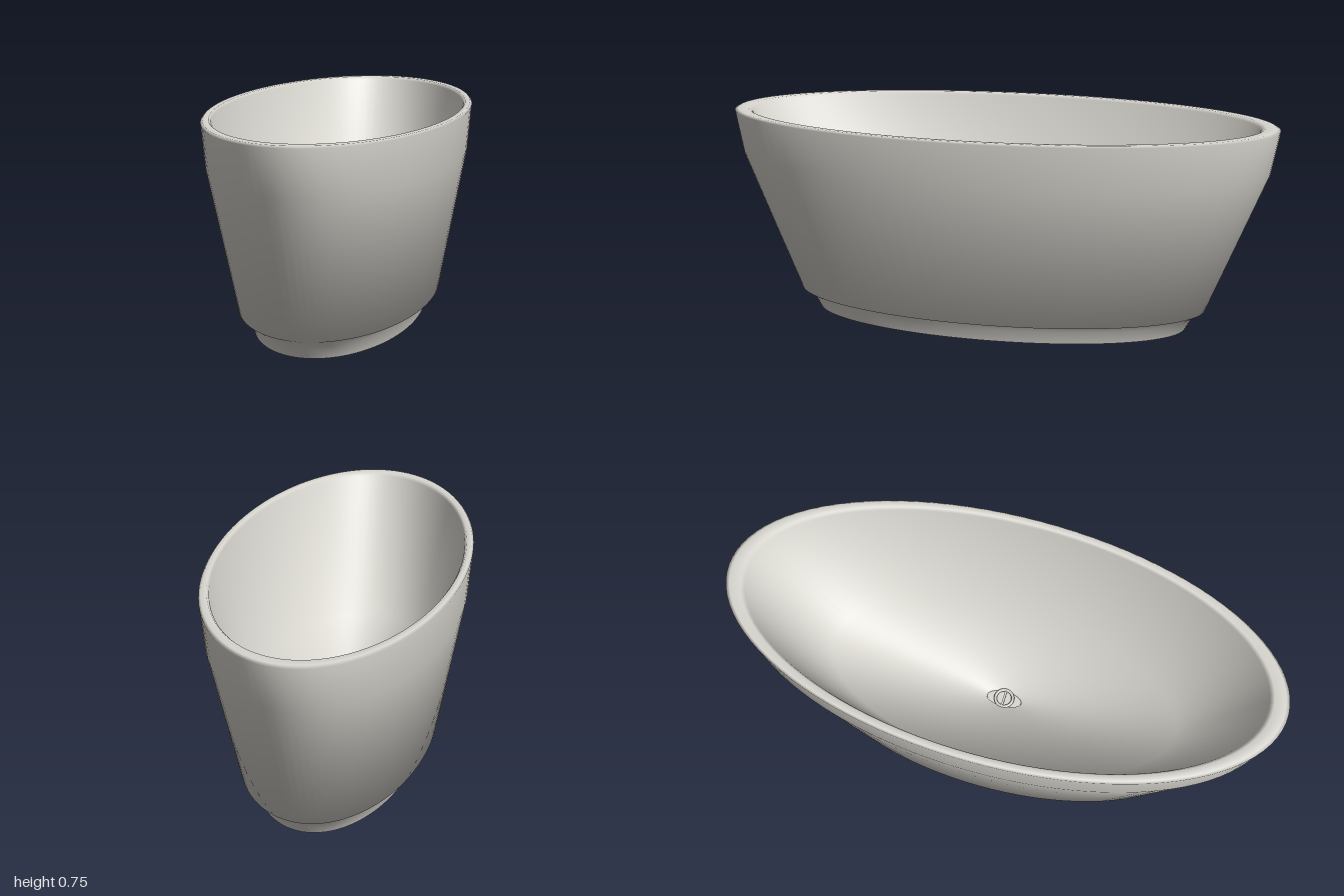
import * as THREE from 'three';

const enamel = new THREE.MeshStandardMaterial({ color: 0xd9d7d0, side: THREE.DoubleSide });
enamel.name = 'warm white enamel';

// Oval part: a profile of [z radius, height] turned about y, then narrowed in x
function oval(name, profile, narrow) {
  const points = profile.map(([r, y]) => new THREE.Vector2(r, y));
  const geometry = new THREE.LatheGeometry(points, 96);
  geometry.scale(narrow, 1, 1);
  const mesh = new THREE.Mesh(geometry, enamel);
  mesh.name = name;
  return mesh;
}

export function createModel() {
  const tub = new THREE.Group();
  tub.name = 'bathtub';
  const shell = 0.46, foot = 0.43;

  // Plinth
  tub.add(oval('plinthBottom', [[0, 0], [0.69, 0]], foot));
  tub.add(oval('plinthSide', [[0.69, 0], [0.718, 0.048], [0.76, 0.074]], foot));

  // Shell in one smooth sweep: underside, outer wall, rim, inner wall, sloping floor
  tub.add(oval('shell', [
    [0, 0.074], [0.76, 0.074], [0.969, 0.585], [0.999, 0.741],
    [0.985, 0.748], [0.945, 0.748], [0.93, 0.738],
    [0.66, 0.25], [0.07, 0.11], [0.065, 0.095],
  ], shell));

  // Drain: sunken oval plate, round collar and crossbar
  const drain = new THREE.Group();
  drain.name = 'drain';
  drain.position.y = 0.11;
  drain.add(oval('drainPlate', [[0.066, -0.012], [0, -0.012]], shell));
  const collar = new THREE.Mesh(new THREE.TorusGeometry(0.033, 0.006, 8, 40), enamel);
  collar.name = 'drainCollar';
  collar.rotation.x = Math.PI / 2;
  const bar = new THREE.Mesh(new THREE.BoxGeometry(0.062, 0.006, 0.008), enamel);
  bar.name = 'drainBar';
  drain.add(collar, bar);
  tub.add(drain);

  return tub;
}
